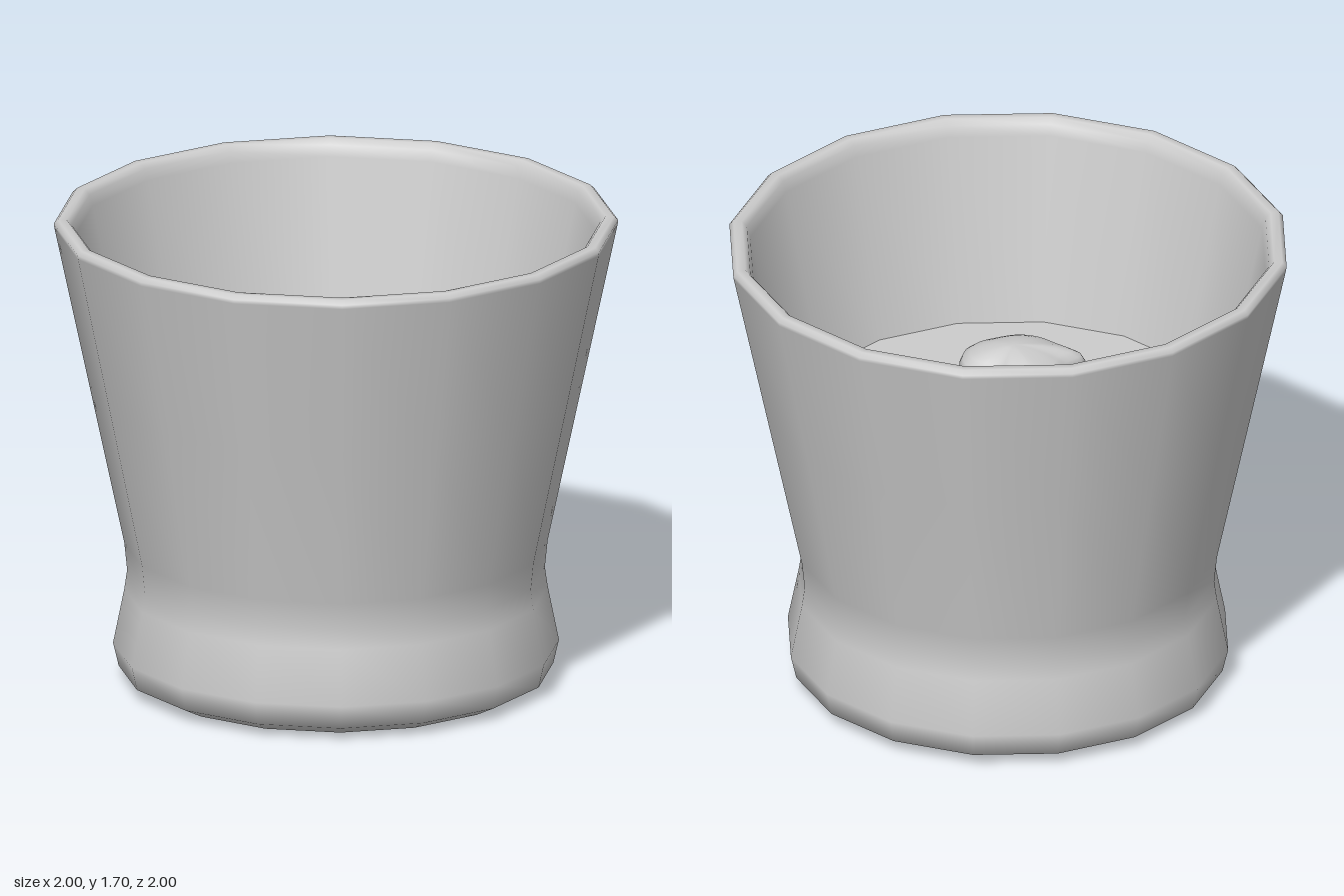
import * as THREE from 'three';

const SIDES = 16;
const LIQUID_Y = 0.97;

// Ice lump: a closed outline [x, z] shrunk in rings towards a peak, slightly tilted
function iceCube(outline, [cx, cz], height, tiltZ, material) {
  const curve = new THREE.CatmullRomCurve3(
    outline.map(([x, z]) => new THREE.Vector3(x, 0, z)), true);
  const n = 48;
  const rim = curve.getPoints(n).slice(0, n);
  // ring scale, share of the height
  const rings = [[0.8, -1.2], [0.95, -0.3], [1, 0.15], [0.94, 0.42], [0.8, 0.62],
    [0.6, 0.79], [0.4, 0.9], [0.2, 0.97]];
  const pos = [], index = [];
  for (const [s, h] of rings) {
    for (const p of rim) {
      const dx = (p.x - cx) * s, dz = (p.z - cz) * s;
      pos.push(cx + dx, LIQUID_Y + h * height + dz * tiltZ, cz + dz);
    }
  }
  const top = rings.length * n;
  pos.push(cx, LIQUID_Y + height, cz);
  for (let r = 0; r < rings.length; r++) {
    for (let i = 0; i < n; i++) {
      const a = r * n + i, b = r * n + (i + 1) % n;
      if (r === rings.length - 1) index.push(b, a, top);
      else index.push(b, a, a + n, b, a + n, b + n);
    }
  }
  const geometry = new THREE.BufferGeometry();
  geometry.setAttribute('position', new THREE.Float32BufferAttribute(pos, 3));
  geometry.setIndex(index);
  geometry.computeVertexNormals();
  const mesh = new THREE.Mesh(geometry, material);
  return mesh;
}

export function createModel() {
  const model = new THREE.Group();
  model.name = 'tumblerWithIce';
  const grey = new THREE.MeshStandardMaterial({ color: 0xcccccc });
  grey.name = 'light grey';

  const add = (mesh, name) => {
    mesh.name = name;
    model.add(mesh);
  };

  // Glass: outside from the base centre up, over the rim, and down inside
  const profile = [
    [0, 0], [0.64, 0], [0.69, 0.005], [0.77, 0.045], [0.79, 0.13], [0.75, 0.33],
    [0.74, 0.4], [0.75, 0.5], [0.875, 1.09], [0.998, 1.67], [1, 1.685], [0.985, 1.7],
    [0.955, 1.7], [0.937, 1.68], [0.925, 1.64], [0.78, LIQUID_Y], [0.67, 0.45],
    [0.62, 0.2], [0, 0.2],
  ].map(([x, y]) => new THREE.Vector2(x, y));
  add(new THREE.Mesh(new THREE.LatheGeometry(profile, SIDES), grey), 'glass');

  // Drink surface
  const surface = new THREE.CircleGeometry(0.782, SIDES).rotateX(-Math.PI / 2);
  surface.translate(0, LIQUID_Y, 0);
  add(new THREE.Mesh(surface, grey), 'drink');

  // Ice
  add(iceCube([[0.23, -0.605], [0.28, -0.59], [0.41, -0.465], [0.57, -0.37], [0.62, -0.325],
    [0.625, -0.25], [0.52, -0.11], [0.385, 0.04], [0.33, 0.1], [0.27, 0.107], [0.165, 0.03],
    [0.05, -0.065], [-0.095, -0.155], [-0.11, -0.22], [-0.02, -0.335], [0.12, -0.49],
    [0.17, -0.58]], [0.26, -0.25], 0.11, -0.08, grey), 'largeIceCube');
  add(iceCube([[-0.36, -0.265], [-0.305, -0.27], [-0.235, -0.22], [-0.2, -0.12],
    [-0.085, -0.01], [-0.015, 0.04], [-0.09, 0.13], [-0.215, 0.255], [-0.29, 0.305],
    [-0.375, 0.305], [-0.475, 0.235], [-0.54, 0.15], [-0.64, 0.02], [-0.645, -0.06],
    [-0.565, -0.155], [-0.43, -0.19]], [-0.33, 0], 0.13, 0.14, grey), 'mediumIceCube');
  add(iceCube([[0, 0.245], [0.05, 0.215], [0.13, 0.2], [0.19, 0.225], [0.325, 0.225],
    [0.385, 0.3], [0.39, 0.37], [0.35, 0.445], [0.28, 0.525], [0.2, 0.555], [0.095, 0.545],
    [0, 0.525], [0.015, 0.44], [0, 0.38]], [0.2, 0.36], 0.1, 0, grey), 'smallIceCube');

  return model;
}
